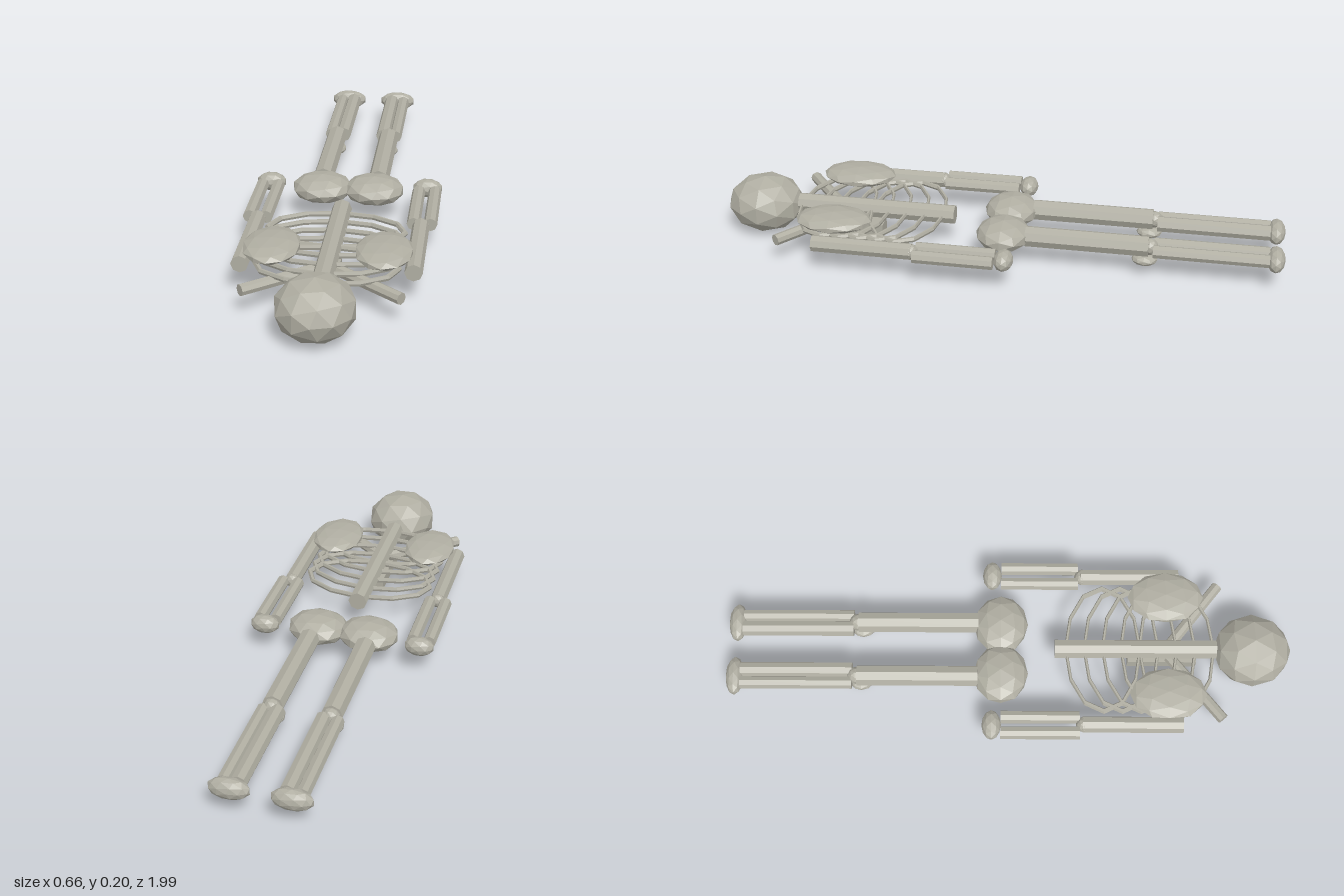
import * as THREE from 'three';

export function createModel() {
  const model = new THREE.Group();
  model.name = 'skeleton';
  const bone = new THREE.MeshStandardMaterial({ color: 0xb0aea2, flatShading: true });
  bone.name = 'bone';

  // Faceted ball with its poles along z
  const ball = new THREE.IcosahedronGeometry(1, 1);
  ball.rotateX(Math.atan(2 / (1 + Math.sqrt(5))));
  ball.rotateZ(Math.PI / 2);

  function add(name, geometry, x, y, z) {
    const mesh = new THREE.Mesh(geometry, bone);
    mesh.name = name;
    mesh.position.set(x, y, z);
    model.add(mesh);
    return mesh;
  }

  function knob(name, pos, radii) {
    add(name, ball, ...pos).scale.set(...radii);
  }

  // Eight-sided shaft between two points
  function shaft(name, from, to, r) {
    const a = new THREE.Vector3(...from);
    const d = new THREE.Vector3(...to).sub(a);
    const g = new THREE.CylinderGeometry(r, r, d.length(), 8);
    const mesh = add(name, g, ...a.addScaledVector(d, 0.5).toArray());
    mesh.quaternion.setFromUnitVectors(new THREE.Vector3(0, 1, 0), d.normalize());
  }

  // Head and trunk
  knob('skull', [0, 0.103, 0.857], [0.13, 0.102, 0.137]);
  shaft('spine', [0, 0.112, 0.16], [0, 0.112, 0.73], 0.034);
  add('sternum', new THREE.BoxGeometry(0.06, 0.043, 0.245), 0, 0.038, 0.543);

  // Overlapping rib rings
  for (let i = 0; i < 5; i++) {
    const g = new THREE.TorusGeometry(0.23, 0.01, 6, 12);
    g.rotateX(Math.PI / 2);
    add('rib', g, 0, 0.11, 0.33 + i * 0.065).scale.z = 0.57;
  }

  // Paired bones
  for (const [side, s] of [['left', 1], ['right', -1]]) {
    const n = (part) => side + part;

    // Shoulder
    knob(n('ShoulderBlade'), [s * 0.18, 0.153, 0.553], [0.095, 0.028, 0.134]);
    shaft(n('Collarbone'), [s * 0.02, 0.088, 0.565], [s * 0.25, 0.088, 0.747], 0.02);

    // Arm
    shaft(n('UpperArm'), [s * 0.277, 0.105, 0.605], [s * 0.277, 0.105, 0.255], 0.029);
    knob(n('Elbow'), [s * 0.277, 0.105, 0.26], [0.028, 0.028, 0.028]);
    shaft(n('OuterForearm'), [s * 0.308, 0.105, 0.245], [s * 0.308, 0.105, -0.03], 0.023);
    shaft(n('InnerForearm'), [s * 0.251, 0.105, 0.245], [s * 0.251, 0.105, -0.03], 0.023);
    knob(n('Hand'), [s * 0.28, 0.105, -0.062], [0.053, 0.034, 0.034]);

    // Hip and leg
    knob(n('Hip'), [s * 0.092, 0.105, -0.03], [0.108, 0.05, 0.096]);
    shaft(n('Thigh'), [s * 0.1, 0.105, -0.11], [s * 0.1, 0.105, -0.535], 0.037);
    knob(n('Knee'), [s * 0.1, 0.105, -0.54], [0.03, 0.03, 0.03]);
    knob(n('Kneecap'), [s * 0.1, 0.055, -0.523], [0.037, 0.02, 0.045]);
    shaft(n('Shin'), [s * 0.078, 0.1, -0.553], [s * 0.078, 0.1, -0.945], 0.028);
    shaft(n('OuterShin'), [s * 0.125, 0.1, -0.553], [s * 0.125, 0.1, -0.945], 0.023);
    knob(n('Foot'), [s * 0.1, 0.096, -0.966], [0.07, 0.037, 0.032]);
  }

  return model;
}
